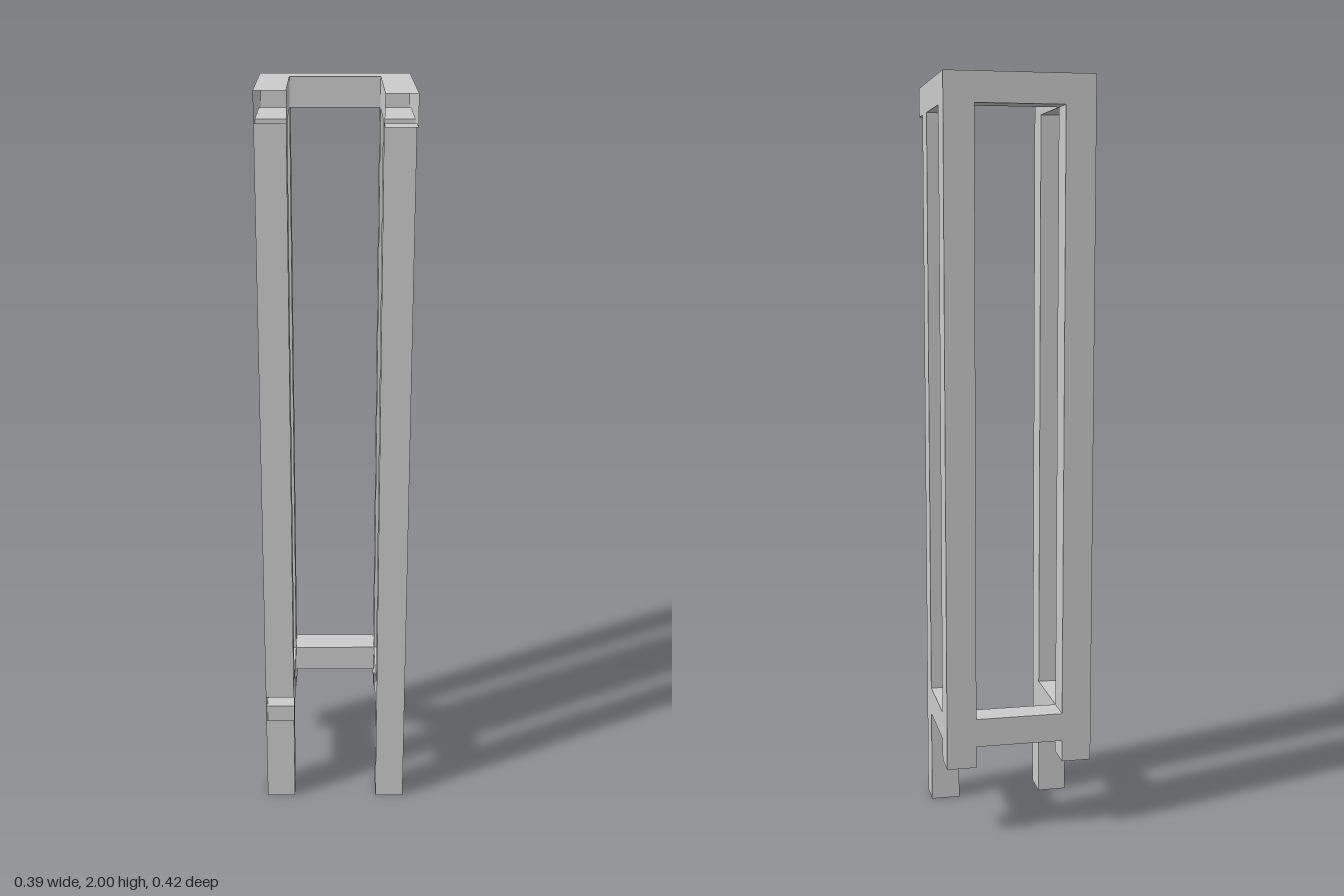
import * as THREE from 'three';

// Grid planes shared by all the square hollow bars
const GRID = [
  [-0.196, -0.117, 0.117, 0.196],
  [0, 0.196, 0.254, 0.33, 1.923, 2],
  [-0.211, -0.134, 0.071, 0.148, 0.21],
];

// Each bar: name, first cell, last cell (x, y, z indices), and the direction of its open end
const BARS = [
  ['backPostRight', [0, 1, 0], [0, 4, 0], [0, -1, 0]],
  ['backPostLeft', [2, 1, 0], [2, 4, 0], [0, -1, 0]],
  ['frontLegRight', [0, 0, 2], [0, 4, 2], [0, -1, 0]],
  ['frontLegLeft', [2, 0, 2], [2, 4, 2], [0, -1, 0]],
  ['topRailRight', [0, 4, 0], [0, 4, 2], [0, 0, 1]],
  ['topRailLeft', [2, 4, 0], [2, 4, 3], [0, 0, 1]],
  ['lowerRailRight', [0, 2, 0], [0, 2, 2], [0, 0, 1]],
  ['lowerRailLeft', [2, 2, 0], [2, 2, 1], null],
  ['topBackRail', [0, 4, 0], [2, 4, 0], null],
  ['lowerBackRail', [0, 2, 0], [2, 2, 0], null],
];

function cellsOf([, a, b]) {
  const cells = [];
  for (let x = a[0]; x <= b[0]; x++)
    for (let y = a[1]; y <= b[1]; y++)
      for (let z = a[2]; z <= b[2]; z++) cells.push([x, y, z]);
  return cells;
}

// Two triangles for one wall of a cell, wound to face outward
function addWall(positions, cell, axis, sign) {
  const u = (axis + 1) % 3, v = (axis + 2) % 3;
  const corner = (i, j) => {
    const p = [];
    p[axis] = GRID[axis][cell[axis] + (sign > 0 ? 1 : 0)];
    p[u] = GRID[u][cell[u] + i];
    p[v] = GRID[v][cell[v] + j];
    return p;
  };
  const q = [corner(0, 0), corner(1, 0), corner(1, 1), corner(0, 1)];
  const order = sign > 0 ? [0, 1, 2, 0, 2, 3] : [0, 2, 1, 0, 3, 2];
  for (const k of order) positions.push(...q[k]);
}

export function createModel() {
  const group = new THREE.Group();
  group.name = 'standFrame';
  const material = new THREE.MeshStandardMaterial({
    color: 0xcccccc, flatShading: true, side: THREE.DoubleSide,
  });

  // Solid cells, and the cell walls left open at the bar ends
  const filled = new Set();
  const open = new Set();
  for (const bar of BARS) {
    for (const cell of cellsOf(bar)) filled.add(cell.join());
    const [, first, last, dir] = bar;
    if (dir) open.add([...(dir[1] < 0 ? first : last), ...dir].join());
  }

  // Skin every bar, leaving the joints hollow
  const done = new Set();
  for (const bar of BARS) {
    const positions = [];
    for (const cell of cellsOf(bar)) {
      if (done.has(cell.join())) continue;
      done.add(cell.join());
      for (let axis = 0; axis < 3; axis++) {
        for (const sign of [-1, 1]) {
          const dir = [0, 0, 0];
          dir[axis] = sign;
          const next = cell.map((c, i) => c + dir[i]);
          if (filled.has(next.join()) || open.has([...cell, ...dir].join())) continue;
          addWall(positions, cell, axis, sign);
        }
      }
    }
    const geometry = new THREE.BufferGeometry();
    geometry.setAttribute('position', new THREE.Float32BufferAttribute(positions, 3));
    geometry.computeVertexNormals();
    const mesh = new THREE.Mesh(geometry, material);
    mesh.name = bar[0];
    group.add(mesh);
  }
  return group;
}
